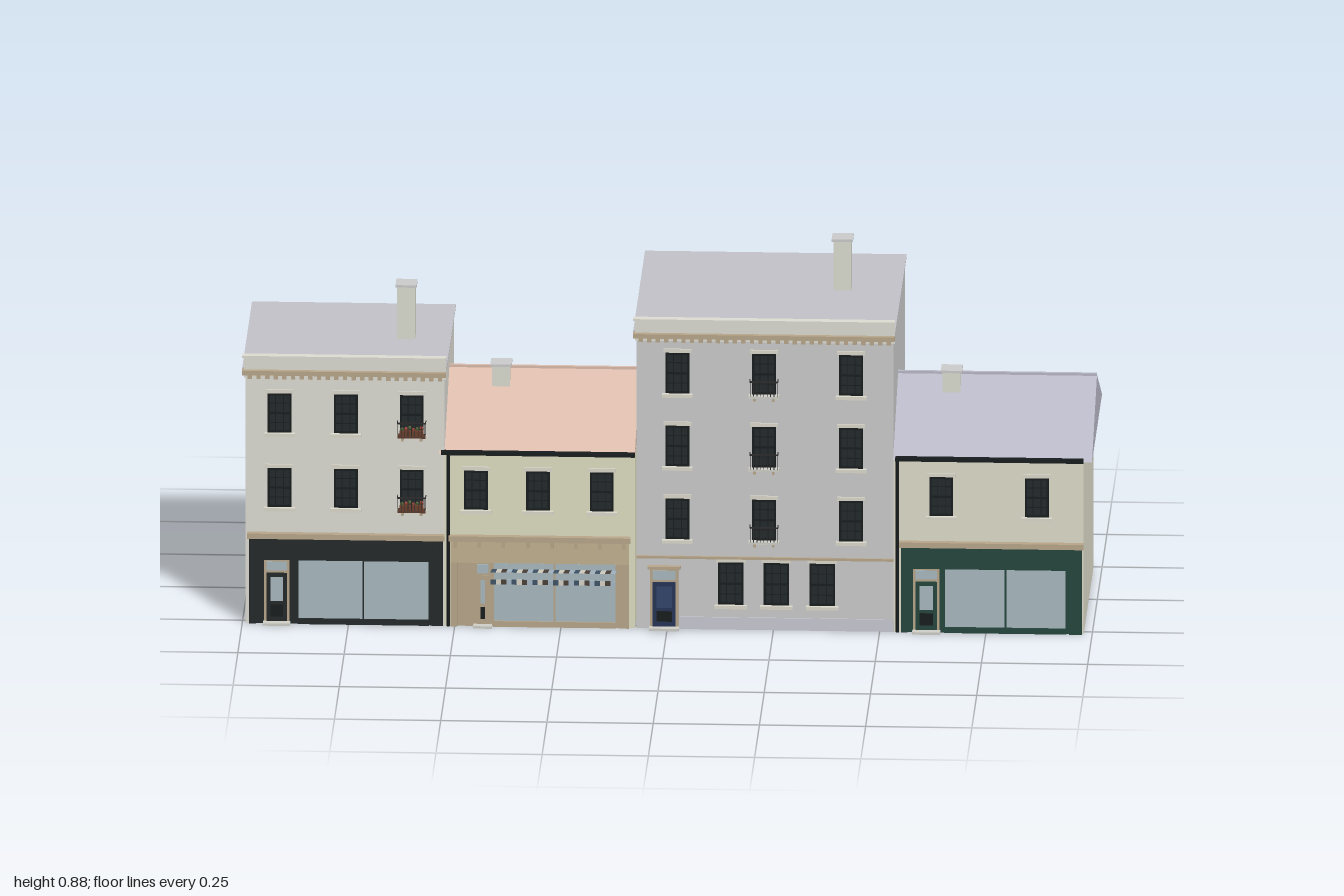
import * as THREE from 'three';

const mats = {};
const mat = (c) => (mats[c] ??= new THREE.MeshStandardMaterial({ color: c, side: THREE.DoubleSide }));
const FRONT = 0.268; // plane of the street facade
const C = {
  black: 0x181c1e, glass: 0x23292c, shopGlass: 0xa9bac0, trim: 0xdcd9cc, tan: 0xb8a68a,
  slab: 0xc2c1c8, slate: 0xb9b8c6, terracotta: 0xdcbcac, stone: 0xcfcfc8, iron: 0x2a2a2a,
};

// Box given by its extents
function box(parent, name, color, x0, x1, y0, y1, z0, z1) {
  const m = new THREE.Mesh(new THREE.BoxGeometry(x1 - x0, y1 - y0, z1 - z0), mat(color));
  m.position.set((x0 + x1) / 2, (y0 + y1) / 2, (z0 + z1) / 2);
  m.name = name;
  parent.add(m);
  return m;
}
// Box on the facade, standing out by d
const onFront = (p, name, color, x0, x1, y0, y1, d) => box(p, name, color, x0, x1, y0, y1, FRONT - 0.002, FRONT + d);

function group(parent, name) {
  const g = new THREE.Group();
  g.name = name;
  parent.add(g);
  return g;
}

function sashWindow(parent, x, y0, y1, w = 0.056) {
  const g = group(parent, 'window');
  const a = x - w / 2, b = x + w / 2, ym = (y0 + y1) / 2;
  onFront(g, 'glass', C.glass, a, b, y0, y1, 0.001);
  for (const s of [a, b - 0.005]) onFront(g, 'jamb', C.black, s, s + 0.005, y0, y1, 0.004);
  for (const s of [y0, ym - 0.003, y1 - 0.005]) onFront(g, 'sashRail', C.black, a, b, s, s + 0.005, 0.004);
  for (const t of [1, 2]) onFront(g, 'glazingBar', C.black, a + t * w / 3 - 0.001, a + t * w / 3 + 0.001, y0, y1, 0.003);
  for (const t of [0.25, 0.75]) {
    const y = y0 + t * (y1 - y0);
    onFront(g, 'glazingBar', C.black, a, b, y - 0.001, y + 0.001, 0.003);
  }
  onFront(g, 'sill', C.trim, a - 0.008, b + 0.008, y0 - 0.009, y0 - 0.001, 0.011);
  onFront(g, 'lintel', C.trim, a - 0.005, b + 0.005, y1, y1 + 0.009, 0.004);
}

function door(parent, x0, x1, top, color) {
  const g = group(parent, 'door');
  onFront(g, 'doorFrame', C.tan, x0 - 0.006, x1 + 0.006, 0, top + 0.035, 0.002);
  onFront(g, 'doorLeaf', color, x0, x1, 0.006, top, 0.004);
  onFront(g, 'transomLight', C.shopGlass, x0, x1, top + 0.006, top + 0.028, 0.004);
  const m = (x0 + x1) / 2, q = (x1 - x0) / 2 - 0.009;
  onFront(g, 'upperPanel', color === 0x273556 ? 0x34456c : C.shopGlass, m - q, m + q, top * 0.45, top - 0.01, 0.005);
  onFront(g, 'lowerPanel', C.black, m - q, m + q, 0.018, top * 0.38, 0.005);
  onFront(g, 'doorStep', C.stone, x0 - 0.008, x1 + 0.008, 0, 0.006, 0.022);
}

// Shopfront: pilasters, door, panes, fascia and cornice
function shopfront(parent, x0, x1, d0, d1, w0, w1, color, cornice, sign) {
  const g = group(parent, 'shopfront');
  onFront(g, 'backing', color, x0, x1, 0, 0.16, 0.001);
  for (const x of [x0, w1 + 0.006, x1 - 0.016]) onFront(g, 'pilaster', color, x, x + 0.016, 0, 0.165, 0.007);
  onFront(g, 'stallRiser', color, w0, w1, 0, 0.014, 0.006);
  onFront(g, 'shopGlass', C.shopGlass, w0, w1, 0.014, 0.156, 0.002);
  for (const x of [w0, (w0 + w1) / 2, w1]) onFront(g, 'mullion', color, x - 0.002, x + 0.002, 0.01, 0.158, 0.005);
  onFront(g, 'fascia', sign, x0, x1, 0.158, 0.212, 0.008);
  onFront(g, 'fasciaCornice', cornice, x0 - 0.004, x1 + 0.004, 0.212, 0.225, 0.016);
  for (let i = 0; i < 8; i++) {
    const x = x0 + 0.012 + i * (x1 - x0 - 0.024) / 7;
    onFront(g, 'bracket', color, x - 0.004, x + 0.004, 0.197, 0.212, 0.013);
  }
  door(g, d0, d1, 0.125, color);
}

function chimney(parent, x, z, y0, y1) {
  const g = group(parent, 'chimney'), r = 0.021;
  box(g, 'stack', 0xdbdcd0, x - r, x + r, y0, y1 - 0.006, z - r, z + r);
  box(g, 'cap', 0xcfcfcf, x - r - 0.004, x + r + 0.004, y1 - 0.006, y1, z - r - 0.004, z + r + 0.004);
}

// Tall house: thin roof slab over the body, parapet and dentilled cornice
function tallHouse(parent, name, wall, x0, x1, top, back, parapetTop) {
  const g = group(parent, name);
  box(g, 'walls', wall, x0, x1, 0, top, back, FRONT);
  box(g, 'flatRoof', C.slab, x0 - 0.008, x1 + 0.004, top + 0.018, top + 0.023, back, FRONT);
  box(g, 'parapet', 0xdddcd2, x0 - 0.004, x1 + 0.004, top, parapetTop - 0.005, FRONT - 0.006, FRONT + 0.008);
  box(g, 'parapetCap', 0xdddcd2, x0 - 0.008, x1 + 0.004, parapetTop - 0.005, parapetTop, FRONT - 0.009, FRONT + 0.011);
  onFront(g, 'cornice', C.tan, x0 - 0.008, x1 + 0.004, top + 0.009, top + 0.02, 0.02);
  const n = Math.round((x1 - x0) / 0.02);
  for (let i = 0; i < n; i++) {
    const x = x0 + (i + 0.5) * (x1 - x0) / n;
    onFront(g, 'dentil', C.tan, x - 0.005, x + 0.005, top - 0.002, top + 0.009, 0.013);
  }
  return g;
}

// Low house: body under a gabled roof with its ridge along x
function lowHouse(parent, name, wall, roof, x0, x1, r0, r1) {
  const g = group(parent, name);
  box(g, 'walls', wall, x0, x1, 0, 0.425, -0.235, FRONT);
  const s = new THREE.Shape([[-0.278, 0.427], [0.25, 0.427], [-0.015, 0.56]].map((p) => new THREE.Vector2(...p)));
  const geo = new THREE.ExtrudeGeometry(s, { depth: r1 - r0, bevelEnabled: false }).rotateY(Math.PI / 2);
  const m = new THREE.Mesh(geo, mat(roof));
  m.position.x = r0;
  m.name = 'gableRoof';
  g.add(m);
  box(g, 'ridgeTiles', roof, r0, r1, 0.556, 0.564, 0.011, 0.019);
  onFront(g, 'gutter', C.black, r0 + 0.005, x1, 0.424, 0.433, 0.012);
  return g;
}

function drainpipe(parent, x, top) {
  const m = new THREE.Mesh(new THREE.CylinderGeometry(0.004, 0.004, top, 8), mat(C.black));
  m.position.set(x, top / 2, FRONT + 0.005);
  m.name = 'drainpipe';
  parent.add(m);
}

// Small iron balcony; optionally planted with flowers
function balcony(parent, x, y, planted) {
  const g = group(parent, 'balcony'), w = 0.033, z = FRONT + 0.02, h = planted ? 0.03 : 0.034;
  onFront(g, 'balconyFloor', planted ? 0x5a3a2c : C.stone, x - w, x + w, y - 0.005, y, 0.022);
  for (let i = 0; i < 9; i++) {
    const bx = x - w + 0.001 + i * (2 * w - 0.002) / 8;
    box(g, 'baluster', C.iron, bx - 0.0008, bx + 0.0008, y, y + h, z - 0.001, z + 0.001);
  }
  box(g, 'handrail', C.iron, x - w, x + w, y + h, y + h + 0.003, z - 0.002, z + 0.002);
  for (const s of [-1, 1]) box(g, 'sideRail', C.iron, x + s * w - 0.001, x + s * w + 0.001, y + h, y + h + 0.003, FRONT, z);
  for (const s of [-1, 1]) onFront(g, 'corbel', C.tan, x + s * 0.022 - 0.003, x + s * 0.022 + 0.003, y - 0.015, y - 0.005, 0.013);
  if (!planted) return;
  box(g, 'planter', 0x6b3f2c, x - 0.028, x + 0.028, y, y + 0.011, FRONT + 0.004, z - 0.003);
  for (let i = 0; i < 6; i++) {
    const f = new THREE.Mesh(new THREE.IcosahedronGeometry(0.005, 0), mat(i % 2 ? 0x9c4436 : 0x4d6238));
    f.position.set(x - 0.023 + i * 0.0092, y + 0.014 + (i % 3) * 0.002, FRONT + 0.011);
    f.name = 'flowers';
    g.add(f);
  }
}

// Striped awning rising outward, with a hanging valance
function awning(parent, x0, x1) {
  const g = group(parent, 'awning'), n = 24, w = (x1 - x0) / n;
  const stripes = [0x3f5568, 0xd8d4c6, 0x4a4038, 0xa9bac8];
  const len = Math.hypot(0.077, 0.018), tilt = -Math.atan2(0.018, 0.077);
  for (let i = 0; i < n; i++) {
    const x = x0 + i * w, c = stripes[i % 4];
    const m = box(g, 'awningStripe', c, x, x + w, 0.148, 0.15, 0, len);
    m.position.z = FRONT + 0.0385;
    m.rotation.x = tilt;
    box(g, 'valance', c, x, x + w, 0.128, 0.14, 0.345, 0.347);
  }
}

export function createModel() {
  const root = new THREE.Group();
  root.name = 'terraceOfHouses';

  // Left tall house with dark shopfront
  const a = tallHouse(root, 'leftTallHouse', 0xdddcd4, -0.992, -0.524, 0.608, -0.237, 0.662);
  for (const x of [-0.912, -0.756, -0.601])
    for (const y of [0.288, 0.472]) sashWindow(a, x, y, y + 0.096);
  for (const y of [0.288, 0.472]) balcony(a, -0.601, y, true);
  shopfront(a, -0.984, -0.528, -0.943, -0.895, -0.87, -0.56, 0x24292a, C.tan, 0x24292a);
  chimney(a, -0.625, 0.015, 0.63, 0.765);

  // Cream house with tan shopfront and awning
  const b = lowHouse(root, 'creamHouse', 0xdfdec2, C.terracotta, -0.524, -0.076, -0.537, -0.076);
  for (const x of [-0.45, -0.304, -0.154]) sashWindow(b, x, 0.288, 0.384);
  shopfront(b, -0.51, -0.09, -0.448, -0.42, -0.41, -0.12, C.tan, C.tan, 0xc3b18f);
  awning(b, -0.412, -0.118);
  chimney(b, -0.4, 0.054, 0.53, 0.585);
  drainpipe(b, -0.515, 0.43);

  // Tall town house
  const c = tallHouse(root, 'townHouse', 0xdcdcd9, -0.072, 0.532, 0.712, -0.345, 0.766);
  for (const x of [0.024, 0.228, 0.433])
    for (const y of [0.222, 0.402, 0.582]) sashWindow(c, x, y, y + 0.1);
  for (const y of [0.222, 0.402, 0.582]) balcony(c, 0.228, y, false);
  for (const x of [0.15, 0.257, 0.365]) sashWindow(c, x, 0.062, 0.166, 0.06);
  onFront(c, 'stringCourse', C.tan, -0.072, 0.532, 0.174, 0.18, 0.006);
  onFront(c, 'plinth', 0xc8c8d2, 0.03, 0.532, 0, 0.03, 0.003);
  door(c, -0.034, 0.02, 0.115, 0x273556);
  onFront(c, 'doorHood', C.tan, -0.046, 0.032, 0.149, 0.156, 0.014);
  chimney(c, 0.399, -0.04, 0.748, 0.875);

  // Right house with green shopfront
  const d = lowHouse(root, 'rightHouse', 0xdddcca, C.slate, 0.532, 0.98, 0.532, 1.0);
  for (const x of [0.645, 0.87]) sashWindow(d, x, 0.288, 0.384);
  shopfront(d, 0.55, 0.976, 0.585, 0.635, 0.652, 0.94, 0x24463c, C.tan, 0x24463c);
  chimney(d, 0.66, 0.054, 0.53, 0.585);
  drainpipe(d, 0.542, 0.43);

  return root;
}
